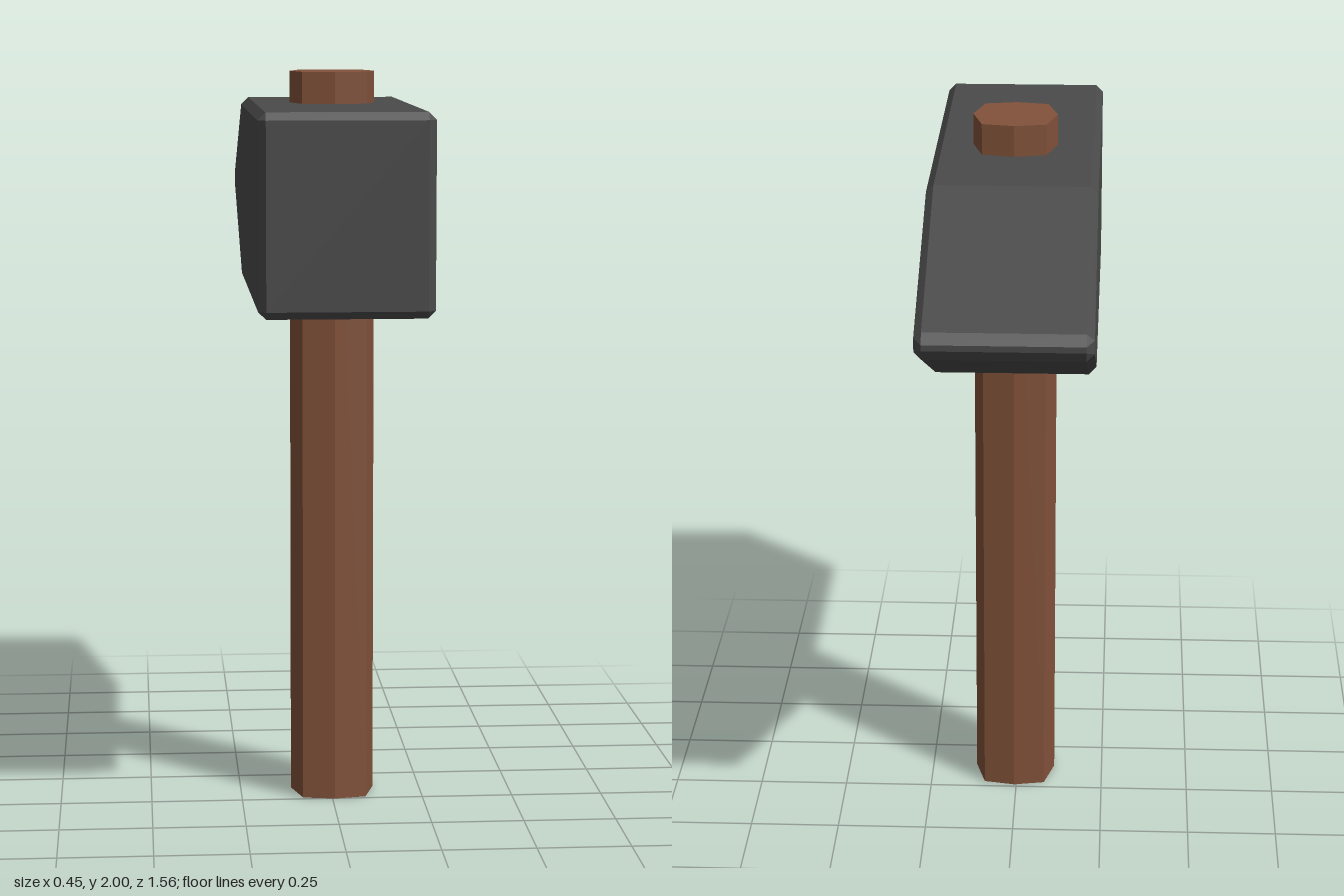
import * as THREE from 'three';
import { ConvexGeometry } from 'three/addons/geometries/ConvexGeometry.js';

const steel = new THREE.MeshStandardMaterial({ name: 'darkSteel', color: 0x4a4a4a, flatShading: true });
const wood = new THREE.MeshStandardMaterial({ name: 'brownWood', color: 0x82523a, flatShading: true });

// Steel head: a mirrored side profile, with smaller side faces to form the chamfers
function makeHead() {
  const midY = 1.655;
  // [z, height above or below the middle]
  const outer = [[0.78, 0.24], [0.76, 0.26], [-0.257, 0.26], [-0.764, 0.036], [-0.78, 0.008]];
  const inner = [[0.76, 0.24], [-0.253, 0.24], [-0.757, 0.018]];
  const points = [];
  const addLoop = (profile, halfWidth) => {
    for (const [z, h] of profile)
      for (const sx of [-1, 1])
        for (const sy of [-1, 1]) points.push(new THREE.Vector3(sx * halfWidth, midY + sy * h, z));
  };
  addLoop(outer, 0.205);
  addLoop(inner, 0.225);
  const head = new THREE.Mesh(new ConvexGeometry(points), steel);
  head.name = 'hammerHead';
  return head;
}

// Wooden handle: an eight-sided shaft that pokes out above the head
function makeHandle() {
  const rx = 0.115, rz = 0.121, dx = 0.087, dz = 0.104;
  const corners = [[rx, 0], [dx, dz], [0, rz], [-dx, dz], [-rx, 0], [-dx, -dz], [0, -rz], [dx, -dz]];
  const shape = new THREE.Shape(corners.map(([x, y]) => new THREE.Vector2(x, y)));
  const geometry = new THREE.ExtrudeGeometry(shape, { depth: 2, bevelEnabled: false });
  geometry.rotateX(-Math.PI / 2);
  const handle = new THREE.Mesh(geometry, wood);
  handle.name = 'handle';
  handle.position.set(0.006, 0, 0.132);
  return handle;
}

export function createModel() {
  const model = new THREE.Group();
  model.name = 'hammer';
  model.add(makeHead(), makeHandle());
  return model;
}
